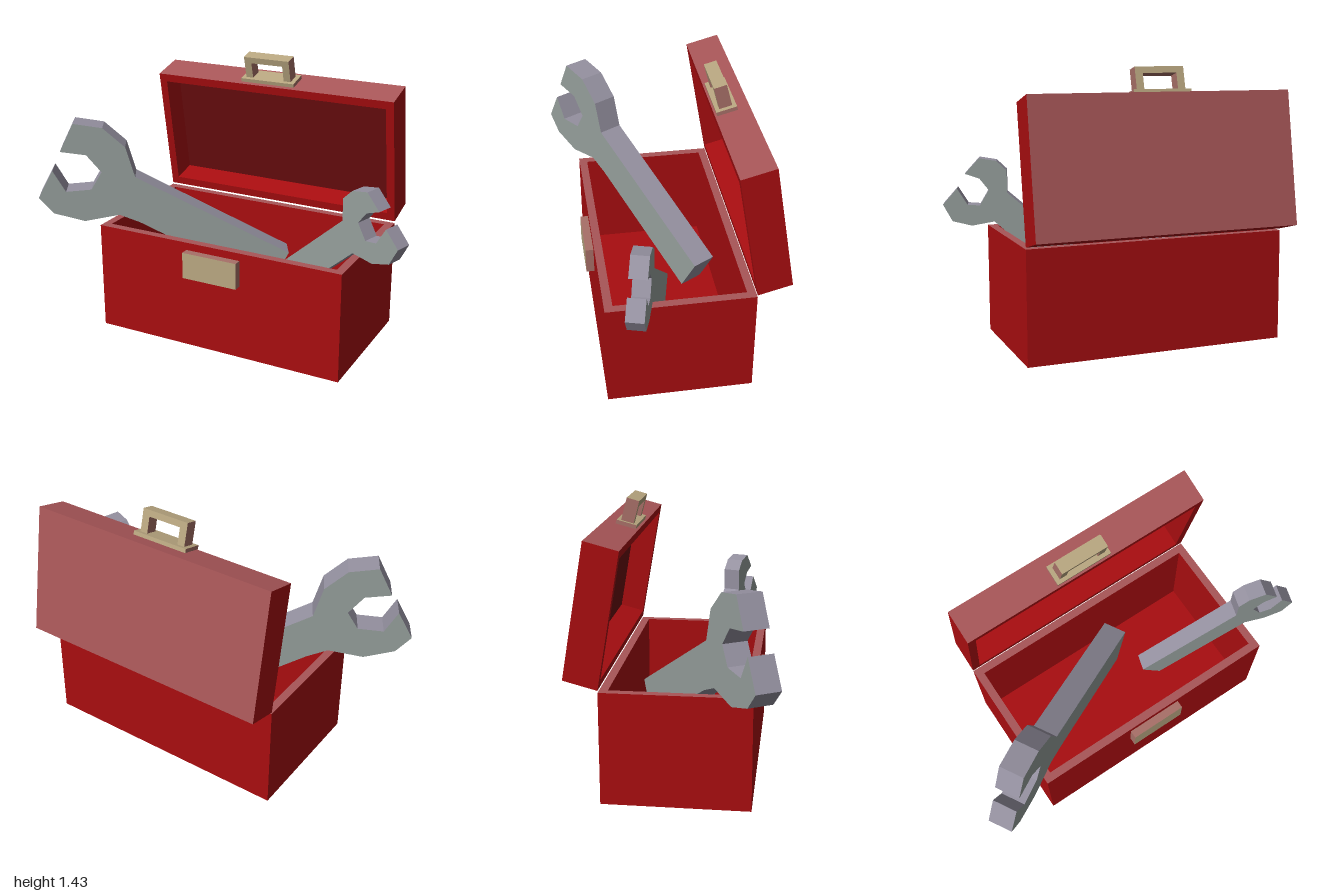
import * as THREE from 'three';

const mat = (color) => new THREE.MeshStandardMaterial({ color, flatShading: true });

export function createModel() {
  const model = new THREE.Group();
  const red = mat(0xa80d10), darkRed = mat(0x6a0c0e), rose = mat(0xa85658);
  const tan = mat(0xb8a680), clay = mat(0xa87068), brown = mat(0x6b4f3a);
  const steel = mat(0x969f9c), steelEdge = mat(0x9591a0);

  // box from min and max corners; materials in order +x -x +y -y +z -z
  function block(name, min, max, materials, parent = model) {
    const size = max.map((v, i) => v - min[i]);
    const geo = new THREE.BoxGeometry(...size);
    geo.translate(...min.map((v, i) => v + size[i] / 2));
    const mesh = new THREE.Mesh(geo, materials);
    mesh.name = name;
    parent.add(mesh);
    return mesh;
  }

  const L = -0.65, R = 0.725, wall = 0.043;

  // Open body: floor plate and a ring of walls
  const front = 0.388, back = -0.357, floor = 0.04, rim = 0.58;
  block('boxFloor', [L, 0, back], [R, floor, front], [red, red, red, brown, red, red]);
  const rect = (T, x0, y0, x1, y1) => new T([
    [x0, y0], [x1, y0], [x1, y1], [x0, y1]].map(([x, y]) => new THREE.Vector2(x, y)));
  const ring = rect(THREE.Shape, L, -front, R, -back);
  ring.holes.push(rect(THREE.Path, L + wall, -front + wall, R - wall, -back - wall));
  const wallGeo = new THREE.ExtrudeGeometry(ring, { depth: rim - floor, bevelEnabled: false });
  wallGeo.rotateX(-Math.PI / 2).translate(0, floor, 0);
  const walls = new THREE.Mesh(wallGeo, [rose, red]);
  walls.name = 'boxWalls';
  model.add(walls);

  // Latch plate
  block('latch', [-0.125, 0.4, front], [0.18, 0.54, 0.43], [clay, clay, clay, clay, tan, clay]);

  // Lid standing open: built upright, then leaned back with a slight skew
  const lid = new THREE.Group();
  lid.name = 'lid';
  const H = 0.69, D = 0.177;
  const outer = [red, red, rose, red, red, rose];
  const lower = [red, red, red, red, red, rose];
  block('lidTop', [L, H - wall, -D], [R, H, 0], outer, lid);
  block('lidBottom', [L, 0, -D], [R, wall, 0], lower, lid);
  block('lidRight', [L, wall, -D], [L + wall, H - wall, 0], lower, lid);
  block('lidLeft', [R - wall, wall, -D], [R, H - wall, 0], lower, lid);
  block('lidPanel', [L + wall, wall, -D], [R - wall, H - wall, -D + wall],
    [red, red, red, red, darkRed, rose], lid);
  const lean = new THREE.Matrix4().makeBasis(
    new THREE.Vector3(1, 0, 0),
    new THREE.Vector3(0, 0.985, 0.17),
    new THREE.Vector3(0, -0.255, 0.967));
  lean.setPosition(0, 0.59, -0.357);
  lid.children.forEach((m) => m.geometry.applyMatrix4(lean));
  model.add(lid);

  // Carrying handle on the lid edge
  const handle = new THREE.Group();
  handle.name = 'handle';
  const trim = [clay, clay, tan, clay, tan, tan];
  block('handlePlate', [-0.138, 0, -0.053], [0.17, 0.02, 0.053], trim, handle);
  for (const [name, x] of [['handleRightPost', -0.115], ['handleLeftPost', 0.105]]) {
    block(name, [x, 0.02, -0.033], [x + 0.04, 0.105, 0.033], trim, handle);
  }
  block('handleGrip', [-0.115, 0.105, -0.033], [0.145, 0.138, 0.033], trim, handle);
  handle.position.set(0, 1.293, -0.299);
  handle.rotation.x = THREE.MathUtils.degToRad(15);
  model.add(handle);

  // Wrench: outline given in front elevation, extruded and turned about y
  function wrench(name, outline, x0, z0, degrees, thickness) {
    const angle = THREE.MathUtils.degToRad(degrees);
    const shape = new THREE.Shape(outline.map(([x, y]) =>
      new THREE.Vector2((x - x0) / Math.cos(angle), y)));
    const geo = new THREE.ExtrudeGeometry(shape, { depth: thickness, bevelEnabled: false });
    geo.translate(0, 0, -thickness);
    const mesh = new THREE.Mesh(geo, [steel, steelEdge]);
    mesh.name = name;
    mesh.position.set(x0, 0, z0);
    mesh.rotation.y = angle;
    model.add(mesh);
  }

  wrench('largeWrench', [
    [-0.768, 1.13], [-0.638, 1.105], [-0.54, 1.0], [-0.5, 0.835], [0.205, 0.384],
    [0.114, 0.194], [-0.485, 0.58], [-0.578, 0.625], [-0.737, 0.593], [-0.875, 0.64],
    [-0.94, 0.727], [-0.871, 0.877], [-0.815, 0.76], [-0.7, 0.77], [-0.651, 0.865],
    [-0.716, 0.96], [-0.832, 0.98],
  ], -0.94, 0.525, 30.4, 0.13);

  wrench('smallWrench', [
    [0.17, 0.345], [0.27, 0.23], [0.66, 0.58], [0.72, 0.635], [0.83, 0.615],
    [0.925, 0.64], [0.97, 0.727], [0.9, 0.81], [0.85, 0.725], [0.79, 0.72],
    [0.745, 0.8], [0.79, 0.86], [0.86, 0.885], [0.79, 0.965], [0.705, 0.95],
    [0.655, 0.9], [0.655, 0.785],
  ], 0.17, 0.085, -16.3, 0.09);

  return model;
}
